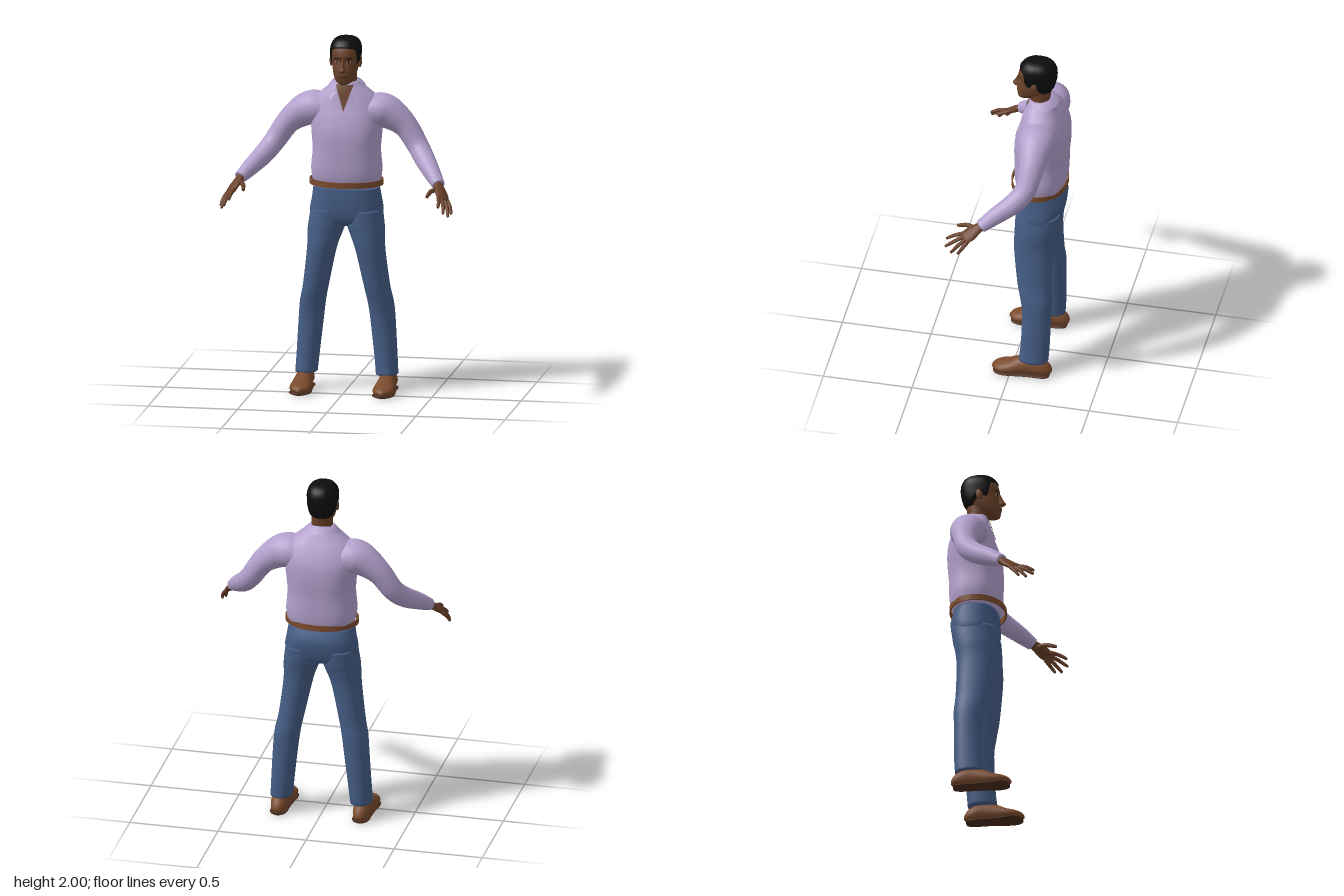
import * as THREE from 'three';

const mat = (name, color, side = THREE.FrontSide) => {
  const m = new THREE.MeshStandardMaterial({ color, side });
  m.name = name;
  return m;
};
const V = (x, y, z) => new THREE.Vector3(x, y, z);

// Catmull-Rom resampling of rows of numbers
function smooth(rows, k = 5) {
  const out = [], at = i => rows[Math.max(0, Math.min(rows.length - 1, i))];
  for (let i = 0; i < rows.length - 1; i++)
    for (let j = 0; j < k; j++) {
      const t = j / k, [a, b, c, d] = [at(i - 1), at(i), at(i + 1), at(i + 2)];
      out.push(b.map((_, n) => b[n] + 0.5 * t * (c[n] - a[n] + t * (2 * a[n] - 5 * b[n] + 4 * c[n] - d[n]
        + t * (3 * (b[n] - c[n]) + d[n] - a[n])))));
    }
  out.push(rows[rows.length - 1]);
  return out;
}

// Surface through rows of points; closed rings can be capped at both ends
function skin(rings, closed = true, caps = closed) {
  const n = rings[0].length, pts = rings.flat(), idx = [], last = rings.length - 1;
  for (let i = 0; i < last; i++)
    for (let j = 0; j < (closed ? n : n - 1); j++) {
      const a = i * n + j, b = i * n + (j + 1) % n;
      idx.push(a, b, a + n, b, b + n, a + n);
    }
  if (caps) [0, last].forEach(r => {
    const c = pts.length;
    pts.push(rings[r].reduce((s, p) => s.add(p), V(0, 0, 0)).divideScalar(n));
    for (let j = 0; j < n; j++) {
      const a = r * n + j, b = r * n + (j + 1) % n;
      idx.push(...(r ? [a, b, c] : [b, a, c]));
    }
  });
  let vol = 0;
  for (let i = 0; i < idx.length; i += 3)
    vol += pts[idx[i]].dot(V(0, 0, 0).crossVectors(pts[idx[i + 1]], pts[idx[i + 2]]));
  if (caps && vol < 0) idx.reverse();
  const g = new THREE.BufferGeometry().setFromPoints(pts);
  g.setIndex(idx);
  g.computeVertexNormals();
  return g;
}

// Horizontal section [y, xCentre, halfWidth, zFront, zBack]
const rim = ([y, x, w, zf, zb], a, p, grow = 0) => {
  const f = c => Math.sign(c) * Math.abs(c) ** (2 / p);
  return V(x + (w + grow) * f(Math.sin(a)), y, (zf + zb) / 2 + ((zf - zb) / 2 + grow) * f(Math.cos(a)));
};
const body = (rows, p = 2.3, n = 36) => skin(rows.map(r =>
  Array.from({ length: n }, (_, j) => rim(r, j / n * Math.PI * 2, p))));
function sectionAt(rows, y) {
  let i = 0;
  while (i < rows.length - 2 && rows[i + 1][0] < y) i++;
  const t = Math.max(0, Math.min(1, (y - rows[i][0]) / (rows[i + 1][0] - rows[i][0])));
  return rows[i].map((v, k) => k ? v + t * (rows[i + 1][k] - v) : y);
}

// Limb along a path of [x, y, z, radiusAlongHint, radiusAcross]
function limb(points, hint, n = 18, k = 5) {
  const rows = smooth(points, k), c = rows.map(r => V(r[0], r[1], r[2]));
  return skin(rows.map((r, i) => {
    const t = c[Math.min(i + 1, c.length - 1)].clone().sub(c[Math.max(i - 1, 0)]).normalize();
    const u = hint.clone().addScaledVector(t, -hint.dot(t)).normalize(), v = t.clone().cross(u);
    return Array.from({ length: n }, (_, j) => c[i].clone()
      .addScaledVector(u, r[3] * Math.cos(j / n * Math.PI * 2))
      .addScaledVector(v, r[4] * Math.sin(j / n * Math.PI * 2)));
  }));
}

// Thin patch lying on the front of a sectioned body, between x limits given per row
function patch(rows, p, y0, y1, limits, off, m = 10) {
  return skin(Array.from({ length: m + 1 }, (_, i) => {
    const t = i / m, y = y0 + t * (y1 - y0), [xa, xb] = limits(t), s = sectionAt(rows, y);
    return Array.from({ length: 9 }, (_, j) => {
      const x = xa + (xb - xa) * j / 8, q = Math.min(1, Math.abs(x) / s[2]);
      return V(x, y, (s[3] + s[4]) / 2 + (s[3] - s[4]) / 2 * (1 - q ** p) ** (1 / p) + off);
    });
  }), false);
}
const oval = (rows, cx, cy, rx, ry, off) => patch(rows, 2.3, cy - ry, cy + ry, t => {
  const h = rx * Math.sqrt(Math.max(0, 1 - (2 * t - 1) ** 2));
  return [cx - h, cx + h];
}, off);

function mirror(geo) {
  const g = geo.clone().scale(-1, 1, 1);
  const a = g.index.array;
  for (let i = 0; i < a.length; i += 3) [a[i], a[i + 1]] = [a[i + 1], a[i]];
  g.computeVertexNormals();
  return g;
}

export function createModel() {
  const man = new THREE.Group();
  man.name = 'standingMan';
  const skinTone = mat('brown skin', 0x6a4129), shirt = mat('lilac shirt', 0xb3a1cd, THREE.DoubleSide);
  const denim = mat('blue denim', 0x455d86), leather = mat('brown leather', 0x7a4b2d);
  const sole = mat('dark sole', 0x4b2c1b), hairBlack = mat('black hair', 0x0d0d0d, THREE.DoubleSide);
  const white = mat('eye white', 0xb0a298), lip = mat('lip brown', 0x55301f);
  const add = (name, geo, m) => {
    const mesh = new THREE.Mesh(geo, m);
    mesh.name = name;
    man.add(mesh);
  };
  const pair = (name, geo, m) => {
    add(name + 'Left', geo, m);
    add(name + 'Right', mirror(geo), m);
  };

  // Shirt
  const torso = smooth([[1.16, 0, .178, -.005, -.25], [1.2, 0, .19, .01, -.265], [1.26, 0, .196, .018, -.272],
    [1.36, 0, .188, .02, -.275], [1.46, 0, .195, .018, -.283], [1.54, 0, .202, .0, -.28], [1.6, 0, .2, -.02, -.262],
    [1.65, 0, .178, -.035, -.238], [1.69, 0, .135, -.045, -.215], [1.72, 0, .098, -.054, -.198], [1.75, 0, .066, -.065, -.178]]);
  add('shirtBody', body(torso, 2.5, 48), shirt);
  add('shirtPlacket', patch(torso, 2.5, 1.2, 1.6, () => [-.014, .014], .003), shirt);
  add('openNeckSkin', patch(torso, 2.5, 1.59, 1.735, t => [-.05 * t, .05 * t], .005), skinTone);
  const collar = [0, 0.5, 1].map(s => Array.from({ length: 41 }, (_, j) => {
    const t = j / 20 - 1, a = t * 2.75;
    const top = V(.074 * Math.sin(a), 1.762 - .055 * t * t, -.115 - .065 * Math.cos(a));
    const low = V(.105 * Math.sin(a * .85), 1.73 - .085 * t ** 4, -.125 - .1 * Math.cos(a * .85) + .03 * t ** 4);
    return top.lerp(low, s).add(V(0, s === 0.5 ? .006 : 0, 0));
  }));
  add('shirtCollar', skin(collar, false), shirt);
  pair('shirtSleeve', limb([[.11, 1.58, -.14, .085, .1], [.19, 1.582, -.14, .097, .105], [.25, 1.56, -.14, .088, .09],
    [.33, 1.497, -.137, .068, .07], [.4, 1.395, -.117, .06, .06], [.45, 1.33, -.06, .057, .056],
    [.505, 1.275, .025, .049, .047], [.548, 1.232, .09, .037, .038], [.556, 1.224, .102, .034, .036]], V(0, 1, 0), 24), shirt);

  // Belt ring
  const ring = new THREE.Shape().absellipse(0, .117, .205, .157, 0, Math.PI * 2);
  ring.holes.push(new THREE.Path().absellipse(0, .117, .197, .149, 0, Math.PI * 2, true));
  add('belt', new THREE.ExtrudeGeometry(ring, { depth: .032, bevelEnabled: false, curveSegments: 40 })
    .rotateX(-Math.PI / 2).translate(0, 1.166, 0), leather);

  // Trousers
  add('trouserHips', body(smooth([[.935, 0, .12, -.06, -.19], [.965, 0, .185, -.015, -.235], [1.02, 0, .203, .0, -.255],
    [1.09, 0, .192, .003, -.264], [1.155, 0, .183, .0, -.24]]), 2.5, 40), denim);
  pair('trouserLeg', body(smooth([[.1, .226, .061, -.045, -.21], [.2, .218, .063, -.055, -.216], [.4, .201, .069, -.06, -.22],
    [.5, .19, .071, -.045, -.222], [.6, .17, .071, -.024, -.215], [.8, .136, .081, .0, -.215], [.9, .117, .098, .0, -.228],
    [.95, .107, .103, .0, -.24], [1.03, .1, .098, -.004, -.25]]), 2.2), denim);

  // Shoes
  const shoe = [[-.216, .022, .035], [-.205, .036, .065], [-.17, .045, .1], [-.11, .045, .112], [-.05, .05, .098],
    [0, .057, .074], [.045, .058, .06], [.078, .045, .048], [.092, .024, .034], [.096, .006, .02]];
  pair('shoeUpper', limb(shoe.map(([z, w, h]) => [.233, .006 + h / 2, z, w, h / 2]), V(1, 0, 0), 20, 3), leather);
  pair('shoeSole', limb(shoe.map(([z, w]) => [.233, .009, z * 1.01, w + .004, .009]), V(1, 0, 0), 20, 3), sole);

  // Hands
  const across = V(.045, -.02, -.04).normalize();
  pair('palm', limb([[.548, 1.232, .09, .027, .022], [.562, 1.213, .118, .031, .02], [.58, 1.187, .15, .041, .018],
    [.594, 1.165, .18, .038, .014], [.599, 1.157, .19, .03, .008]], across), skinTone);
  const fingers = {
    indexFinger: [[.571, 1.176, .193], [.582, 1.162, .243], [.586, 1.138, .284]],
    middleFinger: [[.587, 1.166, .19], [.606, 1.138, .24], [.614, 1.105, .285]],
    ringFinger: [[.601, 1.158, .178], [.624, 1.123, .216], [.634, 1.082, .25]],
    littleFinger: [[.612, 1.155, .16], [.635, 1.122, .186], [.645, 1.088, .21]],
    thumb: [[.555, 1.205, .13], [.527, 1.202, .18], [.515, 1.184, .235]],
  };
  for (const [name, [a, b, c]] of Object.entries(fingers)) {
    const r = name === 'thumb' ? .014 : .0115, tip = c.map((v, i) => v + (c[i] - b[i]) * .06);
    pair(name, limb([[...a, r, r], [...b, r * .9, r * .9], [...c, r * .65, r * .65], [...tip, .002, .002]], across, 10, 4), skinTone);
  }

  // Neck and head
  add('neck', body(smooth([[1.64, 0, .07, -.06, -.17], [1.7, 0, .062, -.062, -.172], [1.76, 0, .059, -.055, -.175],
    [1.83, 0, .06, -.05, -.185]]), 2), skinTone);
  const head = smooth([[1.743, 0, .018, -.01, -.045], [1.752, 0, .036, .004, -.075], [1.775, 0, .053, .01, -.12],
    [1.8, 0, .063, .012, -.165], [1.83, 0, .07, .008, -.188], [1.87, 0, .075, -.002, -.2], [1.9, 0, .077, .004, -.205],
    [1.94, 0, .077, -.006, -.202], [1.97, 0, .064, -.026, -.185], [1.987, 0, .04, -.054, -.155], [1.993, 0, .004, -.1, -.108]]);
  add('head', body(head, 2.3, 40), skinTone);
  add('nose', body(smooth([[1.812, 0, .012, .012, -.02], [1.819, 0, .02, .029, -.02], [1.829, 0, .019, .038, -.02],
    [1.85, 0, .011, .025, -.02], [1.888, 0, .008, .006, -.02]]), 2, 16), skinTone);
  pair('ear', new THREE.SphereGeometry(1, 14, 10).scale(.011, .032, .019).rotateX(-.2).translate(.08, 1.862, -.098), skinTone);

  // Face details
  pair('eyeWhite', oval(head, .032, 1.872, .013, .0055, .002), white);
  pair('iris', oval(head, .032, 1.872, .0055, .0055, .0035), hairBlack);
  pair('eyebrow', oval(head, .033, 1.893, .018, .004, .003), hairBlack);
  add('lips', oval(head, 0, 1.792, .025, .009, .004), lip);

  // Close-cropped hair cap whose lower edge follows the hairline
  const line = [[-1, 1.785], [-.6, 1.8], [-.2, 1.835], [.1, 1.87], [.2, 1.852], [.42, 1.852], [.58, 1.935], [1, 1.948]];
  const hair = Array.from({ length: 15 }, (_, i) => Array.from({ length: 64 }, (_, j) => {
    const a = j / 64 * Math.PI * 2, low = sectionAt(line, Math.cos(a))[1];
    const v = Math.sin(i / 14 * Math.PI / 2), y = low + (1.993 - low) * v;
    const p = rim(sectionAt(head, y), a, 2.3, i === 0 ? -.002 : i === 14 ? -.003 : .008);
    p.y += .007 * v * v;
    return p;
  }));
  add('hair', skin(hair, true), hairBlack);

  return man;
}
